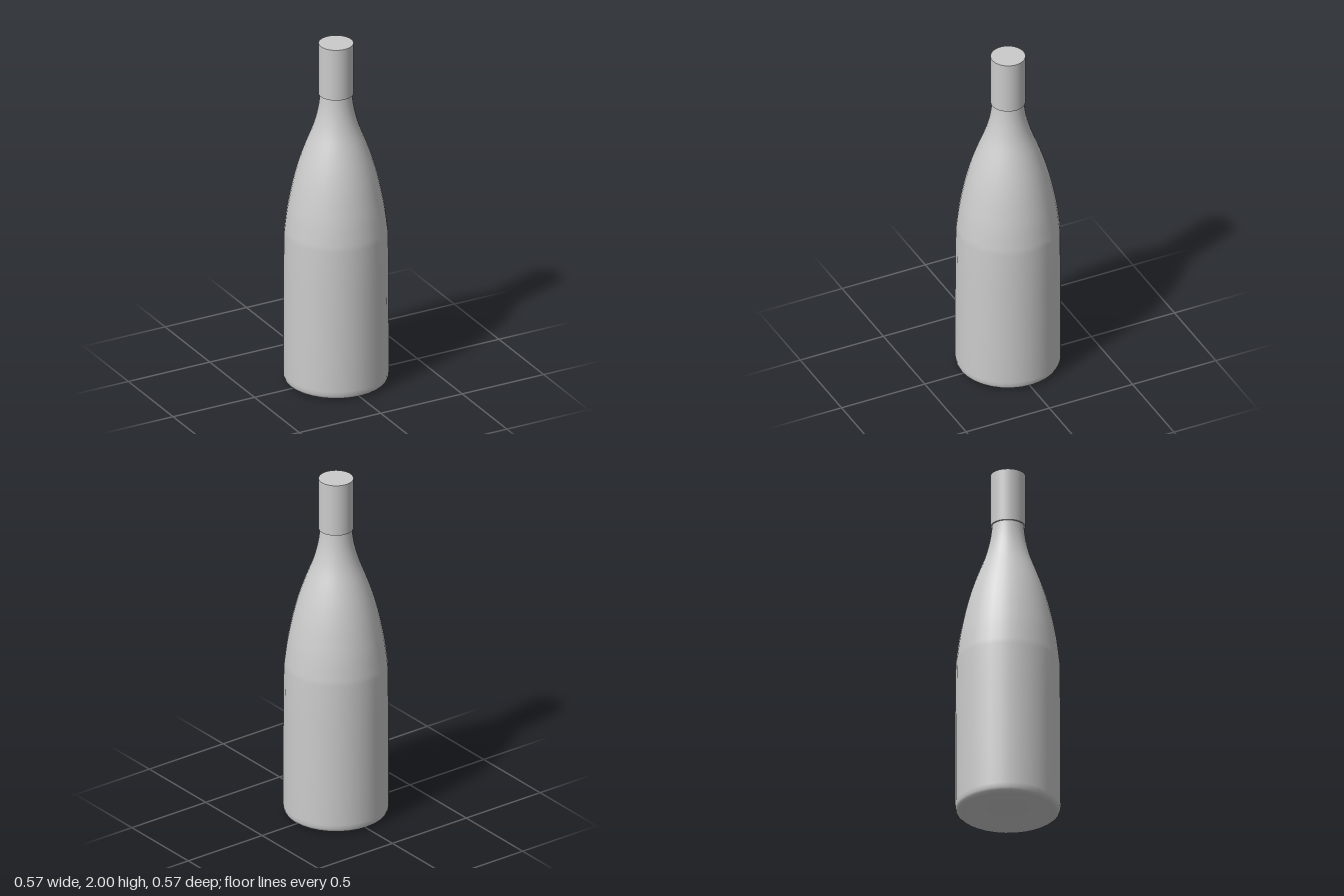
import * as THREE from 'three';

const v = (x, y) => new THREE.Vector2(x, y);

export function createModel() {
  const model = new THREE.Group();
  const material = new THREE.MeshStandardMaterial({ color: 0xcccccc });

  const add = (name, geometry, y = 0) => {
    const mesh = new THREE.Mesh(geometry, material);
    mesh.name = name;
    mesh.position.y = y;
    model.add(mesh);
  };

  // Underside with a shallow punt, then the rounded heel
  const base = [
    v(0, 0.04), v(0.08, 0.04), v(0.14, 0.028), v(0.2, 0.01), v(0.235, 0.001),
    v(0.25, 0), v(0.265, 0.003), v(0.277, 0.012), v(0.283, 0.026), v(0.285, 0.05),
  ];

  // Nearly straight wall
  const wall = [v(0.285, 0.3), v(0.284, 0.65)];

  // Shoulder sweeping into the neck
  const shoulder = new THREE.SplineCurve([
    v(0.281, 0.88), v(0.265, 1.01), v(0.247, 1.11), v(0.225, 1.21), v(0.197, 1.31),
    v(0.162, 1.41), v(0.124, 1.51), v(0.098, 1.61), v(0.086, 1.7), v(0.085, 1.74),
  ]).getPoints(27);

  add('bottleBody', new THREE.LatheGeometry([...base, ...wall, ...shoulder], 32));

  // Closed sleeve over the mouth
  add('neckCap', new THREE.CylinderGeometry(0.094, 0.094, 0.3, 64), 1.85);

  return model;
}
